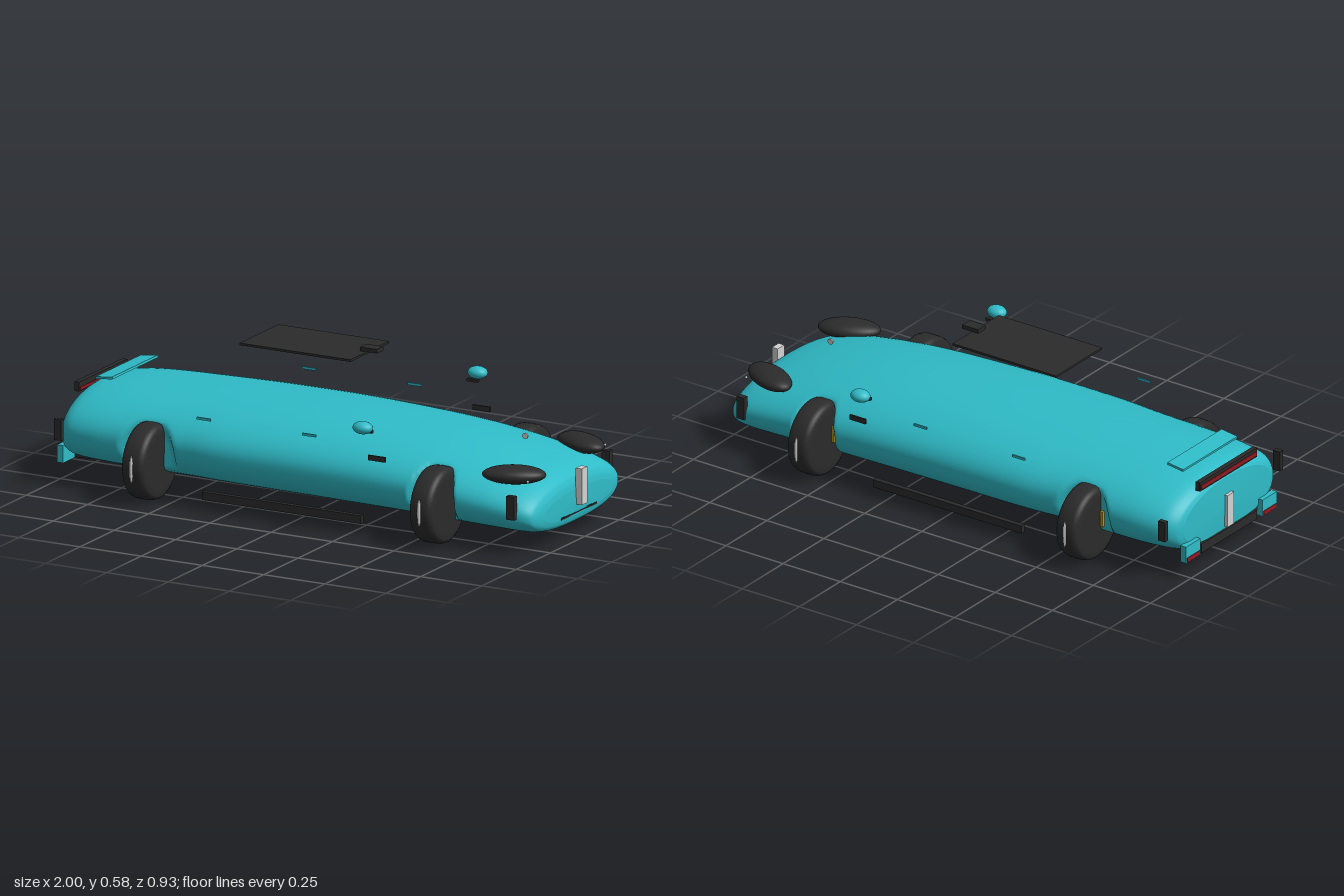
import * as THREE from 'three';

const mat = (name, color) => {
  const m = new THREE.MeshStandardMaterial({ color });
  m.name = name;
  return m;
};

export function createModel() {
  const car = new THREE.Group();
  car.name = 'car';
  const paint = mat('turquoise paint', 0x2fbcc8);
  const black = mat('black trim', 0x2b2b2b);
  const silver = mat('light silver', 0xd4d4d4);
  const red = mat('tail light red', 0x8e1a22);
  const gold = mat('caliper yellow', 0xb8961e);

  const add = (name, geo, m, x, y, z) => {
    const mesh = new THREE.Mesh(geo, m);
    mesh.name = name;
    mesh.position.set(x, y, z);
    car.add(mesh);
    return mesh;
  };
  // Box given by its extents along each axis
  const box = (name, m, x0, x1, y0, y1, z0, z1) =>
    add(name, new THREE.BoxGeometry(x1 - x0, y1 - y0, z1 - z0), m,
      (x0 + x1) / 2, (y0 + y1) / 2, (z0 + z1) / 2);
  const ellipsoid = (name, m, rx, ry, rz, x, y, z) =>
    add(name, new THREE.SphereGeometry(1, 32, 20).scale(rx, ry, rz), m, x, y, z);

  // Wheel wells: centre x, half length, half width of the body inside
  const wells = [[-0.595, 0.11, 0.3], [0.575, 0.085, 0.275]];

  add('body', bodyGeometry(wells), paint, 0, 0, 0);

  // Wheels, with a rounded tyre profile turned about the x axis
  const tyreProfile = [[0, -0.046], [0.1, -0.047], [0.122, -0.046], [0.134, -0.039], [0.139, -0.025],
    [0.14, 0], [0.139, 0.025], [0.134, 0.039], [0.122, 0.046], [0.1, 0.047], [0, 0.046]]
    .map(([r, y]) => new THREE.Vector2(r, y));
  const tyre = new THREE.LatheGeometry(tyreProfile, 48).rotateZ(Math.PI / 2);

  for (const s of [1, -1]) {
    const side = s > 0 ? 'left' : 'right';
    // Box mirrored to this side, from inner to outer z
    const sideBox = (name, m, x0, x1, y0, y1, z0, z1) =>
      box(side + name, m, x0, x1, y0, y1, s > 0 ? z0 : -z1, s > 0 ? z1 : -z0);

    for (const [x, end] of [[-0.595, 'Rear'], [0.58, 'Front']]) {
      add(side + end + 'Tyre', tyre, black, x, 0.142, s * 0.32);
      ellipsoid(side + end + 'WheelHub', silver, 0.007, 0.052, 0.006, x, 0.142, s * 0.458);
      sideBox(end + 'BrakeCaliper', gold, x - 0.062, x - 0.05, 0.13, 0.19, 0.285, 0.312);
    }

    // Headlight pods, toed in towards the nose
    ellipsoid(side + 'Headlight', black, 0.115, 0.033, 0.061, 0.848, 0.27, s * 0.243).rotation.y = s * 0.42;
    ellipsoid(side + 'HeadlightLens', silver, 0.005, 0.005, 0.005, 0.925, 0.262, s * 0.282);

    // Mirrors
    ellipsoid(side + 'Mirror', paint, 0.038, 0.023, 0.031, 0.328, 0.414, s * 0.418);
    sideBox('MirrorStalk', black, 0.305, 0.35, 0.388, 0.398, 0.378, 0.392);

    // Door handles, vents and skirts
    for (const x of [-0.34, 0.09])
      sideBox('DoorHandle', paint, x - 0.028, x + 0.028, 0.341, 0.35, 0.38, 0.386);
    sideBox('SideVent', black, 0.33, 0.4, 0.286, 0.305, 0.378, 0.385);
    sideBox('SideSkirt', black, -0.35, 0.3, 0.045, 0.075, 0.361, 0.381);

    // Corner markers
    sideBox('FrontMarker', black, 0.88, 0.912, 0.135, 0.222, 0.337, 0.358);
    sideBox('RearMarker', black, -0.965, -0.935, 0.178, 0.255, 0.343, 0.362);

    // Rear corner blocks with red reflectors
    sideBox('RearBumperBlock', paint, -0.998, -0.974, 0.07, 0.135, 0.19, 0.278);
    sideBox('RearReflector', red, -1, -0.997, 0.072, 0.09, 0.195, 0.273);

    // Nose intakes and winglets
    sideBox('NoseIntake', black, 0.95, 0.976, 0.088, 0.097, 0.06, 0.13);
    sideBox('NoseWinglet', paint, 0.93, 0.965, 0.106, 0.117, 0.21, 0.28);
  }

  // Roof panel and its block
  box('roofPanel', black, -0.33, 0.122, 0.561, 0.569, -0.141, 0.141);
  box('roofBlock', black, 0.095, 0.165, 0.569, 0.584, -0.023, 0.023);

  // Nose plate, tail plate and bonnet badge
  box('frontPlate', silver, 0.974, 0.999, 0.122, 0.256, -0.02, 0.02);
  box('rearPlate', silver, -0.995, -0.975, 0.11, 0.235, -0.02, 0.02);
  box('frontIntakeStrip', black, 0.955, 0.977, 0.09, 0.094, -0.13, 0.13);
  add('bonnetBadge', new THREE.CylinderGeometry(0.011, 0.011, 0.006, 24).rotateX(Math.PI / 2),
    silver, 0.757, 0.34, 0);

  // Spoiler, tail light bar and diffuser
  box('spoiler', paint, -0.905, -0.835, 0.367, 0.376, -0.166, 0.166).rotation.z = 0.13;
  box('tailLightBar', black, -0.985, -0.966, 0.31, 0.345, -0.175, 0.175);
  box('tailLightRear', red, -0.988, -0.984, 0.316, 0.333, -0.17, 0.17);
  box('tailLightFront', red, -0.967, -0.963, 0.314, 0.326, -0.17, 0.17);
  box('diffuser', black, -0.987, -0.922, 0.065, 0.1, -0.17, 0.17);

  return car;
}

// Hull lofted through cross-sections along x, pressed inwards at the wheels
function bodyGeometry(wells) {
  // x, half width, top, bottom
  const stations = [
    [-0.98, 0.265, 0.3, 0.095], [-0.965, 0.3, 0.32, 0.075], [-0.92, 0.328, 0.34, 0.067],
    [-0.82, 0.343, 0.352, 0.063], [-0.7, 0.345, 0.359, 0.06], [-0.58, 0.345, 0.363, 0.058],
    [-0.46, 0.348, 0.366, 0.057], [-0.3, 0.36, 0.367, 0.056], [0, 0.362, 0.366, 0.054],
    [0.3, 0.362, 0.354, 0.052], [0.48, 0.362, 0.34, 0.051], [0.58, 0.361, 0.328, 0.049],
    [0.68, 0.36, 0.312, 0.047], [0.8, 0.356, 0.288, 0.046], [0.9, 0.345, 0.26, 0.046],
    [0.95, 0.325, 0.234, 0.052], [0.968, 0.295, 0.208, 0.064], [0.975, 0.25, 0.18, 0.085]];
  const last = stations.length - 1;
  const spline = new THREE.CubicInterpolant(
    stations.map((_, i) => i), stations.flat(), 4, new Float32Array(4));
  const rows = [];
  for (let i = 0; i <= last * 10; i++) rows.push(Array.from(spline.evaluate(i / 10)));
  // Close both ends at a point
  rows.unshift([-0.984, 0, 0.19, 0.19]);
  rows.push([0.977, 0, 0.13, 0.13]);

  const n = 72, pos = [], index = [];
  rows.forEach(([x, w, top, bottom], i) => {
    const mid = bottom + (top - bottom) * 0.47;
    for (let j = 0; j < n; j++) {
      const a = (j / n) * Math.PI * 2, c = Math.cos(a), s = Math.sin(a);
      const e = s < 0 ? 0.8 : 0.97;
      let z = w * Math.sign(c) * Math.abs(c) ** e;
      const y = mid + (s < 0 ? mid - bottom : top - mid) * Math.sign(s) * Math.abs(s) ** e;
      for (const [wx, rx, limit] of wells) {
        const d = Math.hypot((x - wx) / rx, (y - 0.15) / 0.15);
        const press = 1 - THREE.MathUtils.smoothstep(d, 0.75, 1.1);
        if (Math.abs(z) > limit) z = THREE.MathUtils.lerp(z, Math.sign(z) * limit, press);
      }
      pos.push(x, y, z);
      if (i < rows.length - 1) {
        const p = i * n + j, q = i * n + (j + 1) % n;
        index.push(p, p + n, q, q, p + n, q + n);
      }
    }
  });
  const geo = new THREE.BufferGeometry();
  geo.setAttribute('position', new THREE.Float32BufferAttribute(pos, 3));
  geo.setIndex(index);
  geo.computeVertexNormals();
  return geo;
}
